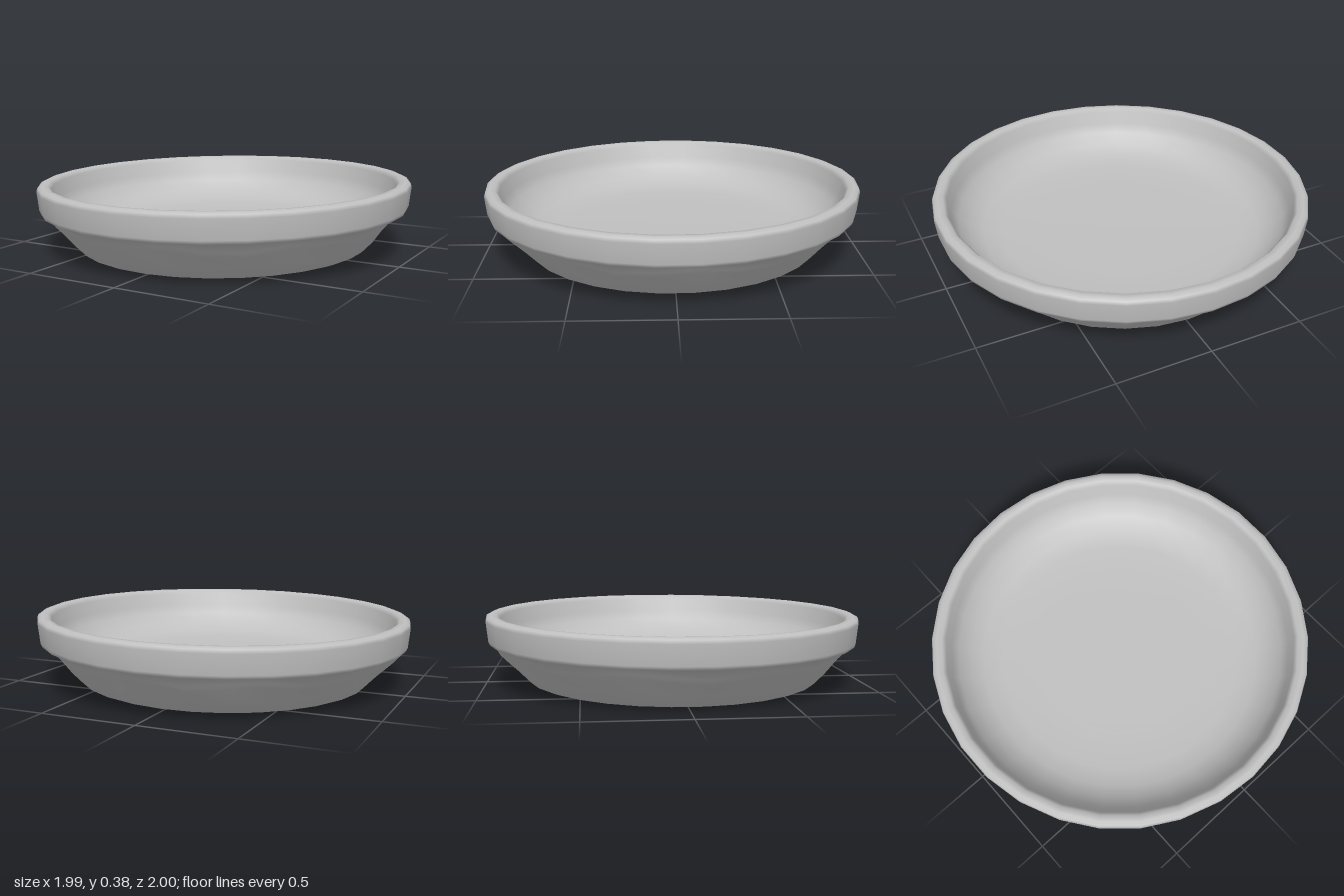
import * as THREE from 'three';
import { mergeVertices } from 'three/addons/utils/BufferGeometryUtils.js';

// Profile (radius, height) from the underside centre, out over the rim, to the inner floor
const PROFILE = [
  [0, 0.035], [0.54, 0.033], [0.61, 0.022], [0.68, 0.006], [0.75, 0.003], [0.775, 0.013],
  [0.83, 0.07], [0.895, 0.145], [0.925, 0.175], [0.945, 0.21], [0.98, 0.217], [0.987, 0.235],
  [0.998, 0.335], [0.992, 0.353], [0.97, 0.362], [0.94, 0.36], [0.922, 0.34], [0.905, 0.27],
  [0.875, 0.22], [0.82, 0.165], [0.75, 0.127], [0.65, 0.108], [0.45, 0.1], [0, 0.098],
];

function createDish(material) {
  const points = PROFILE.map(([r, y]) => new THREE.Vector2(r, y));
  let geometry = new THREE.LatheGeometry(points, 30);
  geometry.deleteAttribute('uv');
  geometry.deleteAttribute('normal');
  geometry = mergeVertices(geometry, 1e-4);

  // Hand-made unevenness below the rim, and a slight lean of the whole dish
  const position = geometry.attributes.position;
  for (let i = 0; i < position.count; i++) {
    let x = position.getX(i), y = position.getY(i), z = position.getZ(i);
    const radius = Math.hypot(x, z);
    const angle = Math.atan2(z, x);
    if (radius > 0.88 && y > 0.1 && y < 0.212) {
      const wobble = Math.sin(angle * 7) * 0.6 + Math.sin(angle * 11 + 1) * 0.4;
      const scale = 1 + 0.012 * wobble;
      x *= scale;
      z *= scale;
      y += 0.012 * Math.sin(angle * 9 + 2);
    }
    position.setXYZ(i, x, y + 0.007 + 0.0125 * x - 0.005 * z, z);
  }
  geometry.computeVertexNormals();

  const dish = new THREE.Mesh(geometry, material);
  dish.name = 'dish';
  return dish;
}

export function createModel() {
  const clay = new THREE.MeshStandardMaterial({ color: 0xc0c0c0 });
  clay.name = 'light grey';
  const model = new THREE.Group();
  model.name = 'shallowDish';
  model.add(createDish(clay));
  return model;
}
